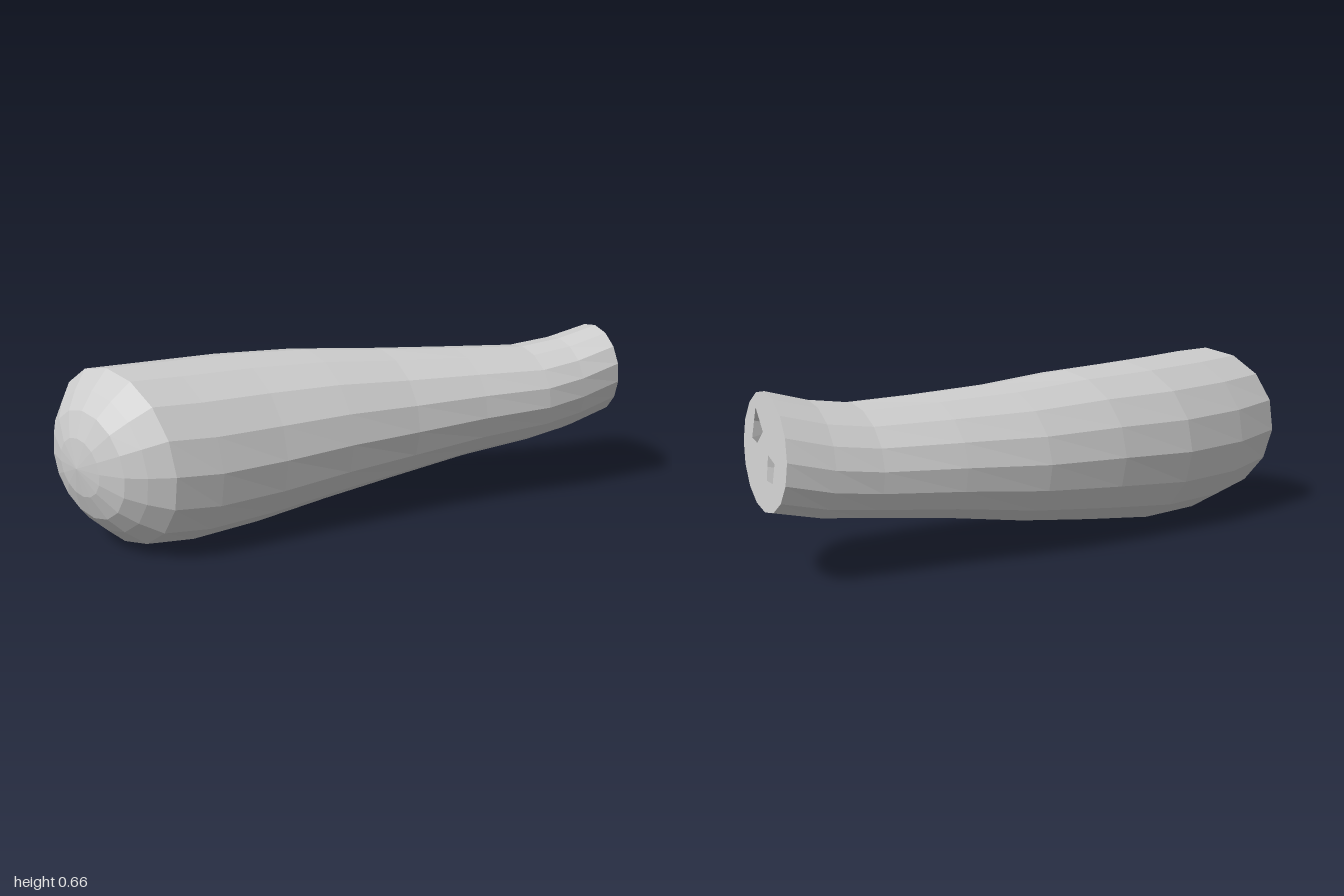
import * as THREE from 'three';

const SIDES = 16;

// Cross-sections from the wide end to the narrow end. Each holds the (x, z)
// of its front edge, the (x, z) of its back edge, then its lowest and highest y.
const SECTIONS = [
  [-0.83, -0.04, -0.83, -0.69, 0.025, 0.66],
  [-0.67, 0.02, -0.62, -0.64, 0.0, 0.655],
  [-0.44, 0.1, -0.33, -0.545, 0.012, 0.65],
  [-0.2, 0.195, -0.05, -0.4, 0.055, 0.64],
  [0.05, 0.3, 0.22, -0.235, 0.1, 0.615],
  [0.3, 0.425, 0.48, -0.045, 0.155, 0.6],
  [0.53, 0.555, 0.72, 0.135, 0.195, 0.59],
  [0.67, 0.615, 0.86, 0.23, 0.22, 0.612],
  [0.81, 0.68, 1.0, 0.32, 0.265, 0.655],
];

// Rounded wide end: x and scale of each ring, from the tip inwards
const DOME = [[-1, 0], [-0.985, 0.33], [-0.95, 0.61], [-0.9, 0.8]];

// Point of a section for unit-circle coordinates u (towards z) and v (towards y)
function sectionPoint(index, u, v) {
  const [x1, z1, x2, z2, y1, y2] = SECTIONS[index];
  const t = index / (SECTIONS.length - 1);
  const h = (y2 - y1) / 2;
  const shear = THREE.MathUtils.lerp(-0.07, 0.2, t);
  return new THREE.Vector3(
    (x1 + x2) / 2 + (u * (x1 - x2)) / 2 - 0.055 * t * t * v,
    (y1 + y2) / 2 + h * v,
    (z1 + z2) / 2 + (u * (z1 - z2)) / 2 + shear * h * v,
  );
}

function circle(j) {
  const a = (j / SIDES) * Math.PI * 2;
  return [Math.cos(a), Math.sin(a)];
}

// Skin the rings with faceted quads
function loft(rings) {
  const index = [];
  for (let i = 0; i < rings.length - 1; i++) {
    for (let j = 0; j < SIDES; j++) {
      const k = (j + 1) % SIDES;
      const a = i * SIDES + j, b = i * SIDES + k;
      index.push(a, a + SIDES, b, b, a + SIDES, b + SIDES);
    }
  }
  const geometry = new THREE.BufferGeometry().setFromPoints(rings.flat());
  geometry.setIndex(index);
  const faceted = geometry.toNonIndexed();
  faceted.computeVertexNormals();
  return faceted;
}

// Flat end with two small openings, laid onto the last section
function endCapGeometry() {
  const points = (list) => list.map(([u, v]) => new THREE.Vector2(u, v));
  const shape = new THREE.Shape(points(Array.from({ length: SIDES }, (_, j) => circle(j))));
  const holes = [
    [[0.41, 0.67], [0.07, 0.31], [0.34, 0.08], [0.58, 0.13]],
    [[-0.16, -0.03], [-0.45, -0.12], [-0.36, -0.46], [-0.09, -0.46]],
  ];
  for (const hole of holes) shape.holes.push(new THREE.Path(points(hole)));

  const geometry = new THREE.ShapeGeometry(shape);
  const pos = geometry.attributes.position;
  for (let i = 0; i < pos.count; i++) {
    const p = sectionPoint(SECTIONS.length - 1, pos.getX(i), pos.getY(i));
    pos.setXYZ(i, p.x, p.y, p.z);
  }
  geometry.index.array.reverse(); // face outwards
  geometry.computeVertexNormals();
  return geometry;
}

export function createModel() {
  const group = new THREE.Group();
  group.name = 'taperedLimb';
  const material = new THREE.MeshStandardMaterial({
    color: 0xcccccc, flatShading: true, side: THREE.DoubleSide,
  });
  const add = (name, geometry) => {
    const mesh = new THREE.Mesh(geometry, material);
    mesh.name = name;
    group.add(mesh);
  };

  const ring = (i) => Array.from({ length: SIDES }, (_, j) => sectionPoint(i, ...circle(j)));
  const body = SECTIONS.map((_, i) => ring(i));

  // Dome rings shrink the first section towards the tip
  const dome = DOME.map(([x, s]) => Array.from({ length: SIDES }, (_, j) => {
    const [u, v] = circle(j);
    return sectionPoint(0, u * s, v * s).setX(x);
  }));

  add('body', loft(body));
  add('roundedEnd', loft([...dome, body[0]]));
  add('flatEnd', endCapGeometry());
  return group;
}
